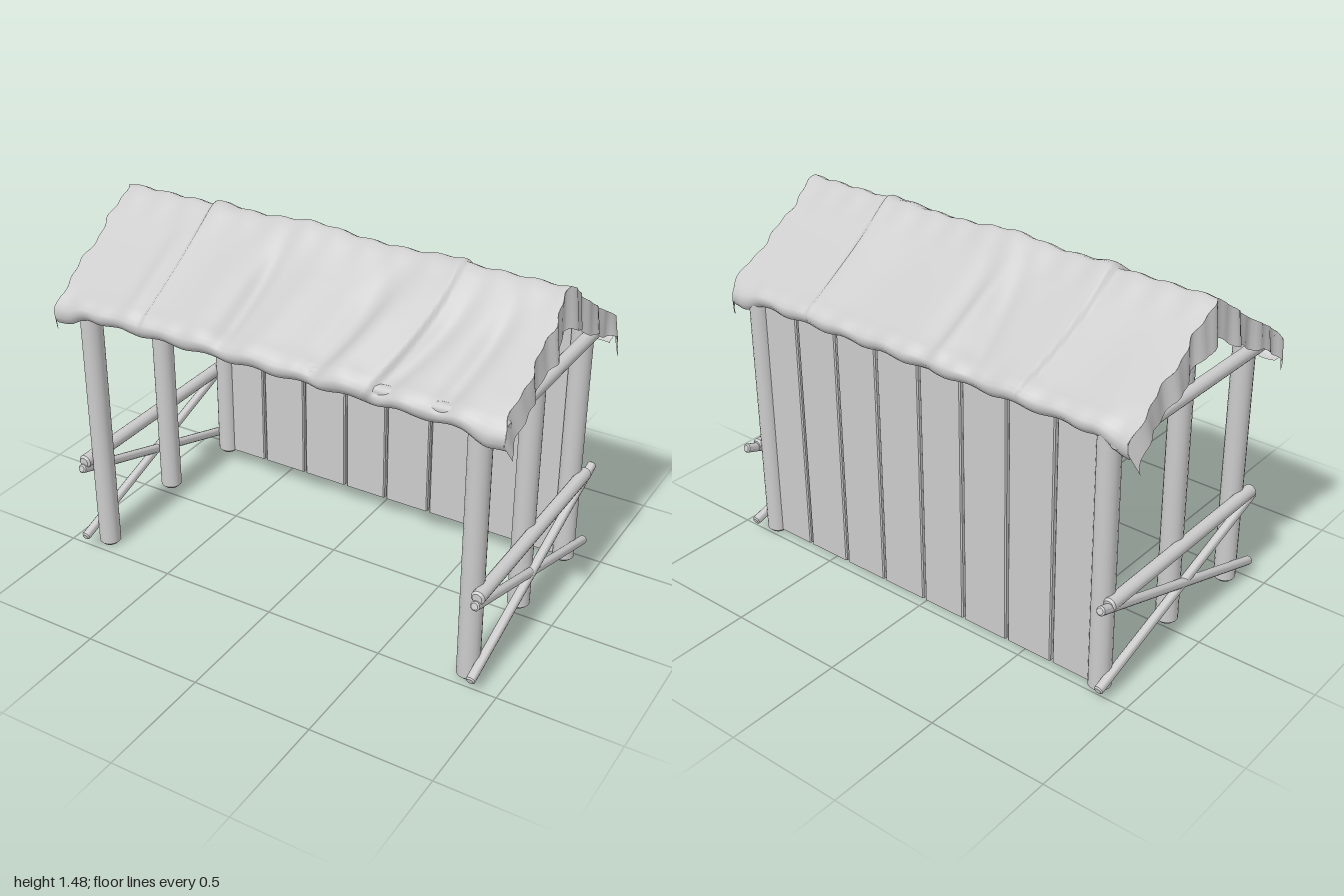
import * as THREE from 'three';
import { toCreasedNormals } from 'three/addons/utils/BufferGeometryUtils.js';

const grey = new THREE.MeshStandardMaterial({ color: 0xcccccc });
const cloth = new THREE.MeshStandardMaterial({ color: 0xcccccc, side: THREE.DoubleSide });

// Round log with chamfered ends between two points
function log(name, a, b, r, sides = 18) {
  const from = new THREE.Vector3(...a), to = new THREE.Vector3(...b);
  const len = from.distanceTo(to), c = r * 0.3;
  const profile = [[0, 0], [r - c, 0], [r, c], [r, len - c], [r - c, len], [0, len]];
  const geo = new THREE.LatheGeometry(profile.map(p => new THREE.Vector2(...p)), sides);
  const mesh = new THREE.Mesh(toCreasedNormals(geo, 0.6), grey);
  mesh.name = name;
  mesh.position.copy(from);
  mesh.quaternion.setFromUnitVectors(new THREE.Vector3(0, 1, 0), to.sub(from).normalize());
  return mesh;
}

const bump = (d, w) => Math.exp(-(d * d) / (w * w));
const smooth = THREE.MathUtils.smoothstep;

// Half section of the cover: t, z, y from the ridge to the hem tucked under the eave pole
const section = [
  [0, 0, 1.455], [0.06, 0.035, 1.44], [0.4, 0.22, 1.315], [0.74, 0.43, 1.18], [0.8, 0.475, 1.157],
  [0.85, 0.505, 1.13], [0.9, 0.507, 1.105], [0.95, 0.49, 1.08], [1, 0.455, 1.075],
];
function sectionAt(t) {
  let i = 1;
  while (i < section.length - 1 && t > section[i][0]) i++;
  const [t0, z0, y0] = section[i - 1], [t1, z1, y1] = section[i];
  const k = (t - t0) / (t1 - t0);
  return [z0 + (z1 - z0) * k, y0 + (y1 - y0) * k];
}

// Folds: x at the ridge, sideways run to the eave, width, height
const frontFolds = [
  [-0.6, 0, 0.05, 0.022], [-0.17, -0.04, 0.04, -0.022], [-0.3, -0.02, 0.1, 0.022], [0.02, -0.1, 0.07, 0.016],
  [0.3, -0.13, 0.06, -0.025], [0.42, -0.2, 0.07, 0.03], [0.64, -0.24, 0.05, -0.026], [0.8, -0.13, 0.05, -0.028],
];
const backFolds = [
  [-0.2, -0.1, 0.05, -0.016], [-0.13, 0.02, 0.04, 0.018], [-0.05, 0, 0.05, -0.014],
  [-0.7, 0.05, 0.12, -0.008], [0.3, 0.1, 0.14, -0.008],
];

// Point on the cover: v runs from -1 (front hem) over the ridge to 1 (back hem)
function coverPoint(x, v) {
  const t = Math.abs(v), front = v < 0;
  let [z, y] = sectionAt(t);
  let lift = 0;
  for (const [fx, run, w, h] of front ? frontFolds : backFolds) {
    lift += h * bump(x - fx - run * t * t, w) * smooth(t, 0.02, 0.5);
  }
  // Overlapping strips end in a small step
  const seamA = -0.545 + (front ? 0 : 0.07 * t * t), seamB = 0.555 - (front ? 0.16 * t * t : 0.02 * t);
  lift += 0.014 * smooth(x, seamA - 0.008, seamA + 0.008) * bump(Math.max(0, x - seamA), 0.15);
  lift += 0.014 * (1 - smooth(x, seamB - 0.008, seamB + 0.008)) * bump(Math.min(0, x - seamB), 0.15);
  lift -= 0.01 * Math.sin(Math.PI * Math.min(1, t / 0.8));
  // Crumpled ridge and wavy hem
  y += (1 - smooth(t, 0, 0.3)) * (0.022 * bump(x + 0.08, 0.16) + 0.004 * Math.sin(x * 47));
  const hem = smooth(t, 0.7, 0.95);
  lift += hem * (0.006 * Math.sin(x * 23) + 0.004 * Math.sin(x * 57));
  y -= hem * (0.04 * smooth(Math.abs(x), 0.8, 0.92) + 0.006 * Math.sin(x * 31));
  z += 0.55 * lift;
  y += 0.84 * lift * (1 - 0.6 * hem);
  const edge = smooth(Math.abs(x), 0.9, 0.96) * Math.sign(x);
  return [x + edge * (0.008 * Math.sin(v * 19) + 0.005 * Math.sin(v * 43)), y, front ? z : -z];
}

// Grid whose vertices are placed by a rule of u, v in -1..1
function sheet(name, nu, nv, rule) {
  const geo = new THREE.PlaneGeometry(2, 2, nu, nv), p = geo.attributes.position;
  for (let i = 0; i < p.count; i++) p.setXYZ(i, ...rule(p.getX(i), p.getY(i)));
  geo.computeVertexNormals();
  const mesh = new THREE.Mesh(geo, cloth);
  mesh.name = name;
  return mesh;
}

export function createModel() {
  const model = new THREE.Group();

  // End frames: three posts, two rails and a cross brace per side
  for (const s of [1, -1]) {
    const frame = new THREE.Group();
    frame.name = s > 0 ? 'leftFrame' : 'rightFrame';
    const px = 0.85 * s, rx = 0.9 * s;
    frame.add(
      log('frontPost', [px, 0, 0.433], [px, 1.12, 0.433], 0.045),
      log('middlePost', [px, 0.045, -0.006], [px, 1.4, -0.006], 0.045),
      log('backPost', [px, 0, -0.455], [px, 1.12, -0.455], 0.045),
      log('topRail', [rx, 1.077, 0.49], [rx, 1.077, -0.5], 0.028),
      log('middleRail', [rx, 0.412, 0.5], [rx, 0.412, -0.495], 0.028),
      log('brace', [rx, 0.39, 0.518], [rx, 0.055, -0.54], 0.019, 12),
      log('brace', [rx + 0.004 * s, 0.057, 0.53], [rx + 0.004 * s, 0.423, -0.553], 0.019, 12),
    );
    model.add(frame);
  }

  // Long poles under the cover
  model.add(
    log('frontEavePole', [-0.96, 1.118, 0.457], [0.965, 1.118, 0.457], 0.027),
    log('backEavePole', [-0.96, 1.112, -0.457], [0.965, 1.112, -0.457], 0.027),
    log('ridgePole', [-0.94, 1.41, 0], [0.94, 1.41, 0], 0.027),
  );

  // Back wall of eight planks with narrow chamfered joints
  const wall = new THREE.Group();
  wall.name = 'backWall';
  const joints = [-0.84, -0.635, -0.42, -0.205, 0, 0.215, 0.425, 0.635, 0.84];
  for (let i = 0; i < 8; i++) {
    const w = joints[i + 1] - joints[i] - 0.01, c = 0.005, h = 0.014;
    const outline = new THREE.Shape([
      [-w / 2 + c, -h], [w / 2 - c, -h], [w / 2, -h + c], [w / 2, h - c],
      [w / 2 - c, h], [-w / 2 + c, h], [-w / 2, h - c], [-w / 2, -h + c],
    ].map(q => new THREE.Vector2(...q)));
    const plank = new THREE.Mesh(new THREE.ExtrudeGeometry(outline, { depth: 1.07, bevelEnabled: false }), grey);
    plank.name = 'plank';
    plank.rotation.x = -Math.PI / 2;
    plank.position.set((joints[i] + joints[i + 1]) / 2, 0.015, -0.455);
    wall.add(plank);
  }
  model.add(wall);

  // Draped cover with a hanging flap at each gable
  const cover = new THREE.Group();
  cover.name = 'clothRoof';
  cover.add(sheet('cover', 200, 80, (u, v) => coverPoint(u * 0.965, v)));
  for (const s of [1, -1]) {
    cover.add(sheet('gableFlap', 64, 8, (u, w) => {
      const v = u * s, k = (1 - w) / 2, t = Math.abs(v);
      const [x, y, z] = coverPoint(0.965 * s, v * 0.92);
      const drop = 0.16 - 0.09 * t + 0.008 * Math.sin(v * 21);
      const flare = 0.012 + 0.014 * smooth(t, 0.6, 1) + 0.006 * Math.sin(v * 15);
      return [x + s * k * flare, y - k * drop, z * (1 - 0.06 * k * t)];
    }));
  }
  model.add(cover);
  return model;
}
